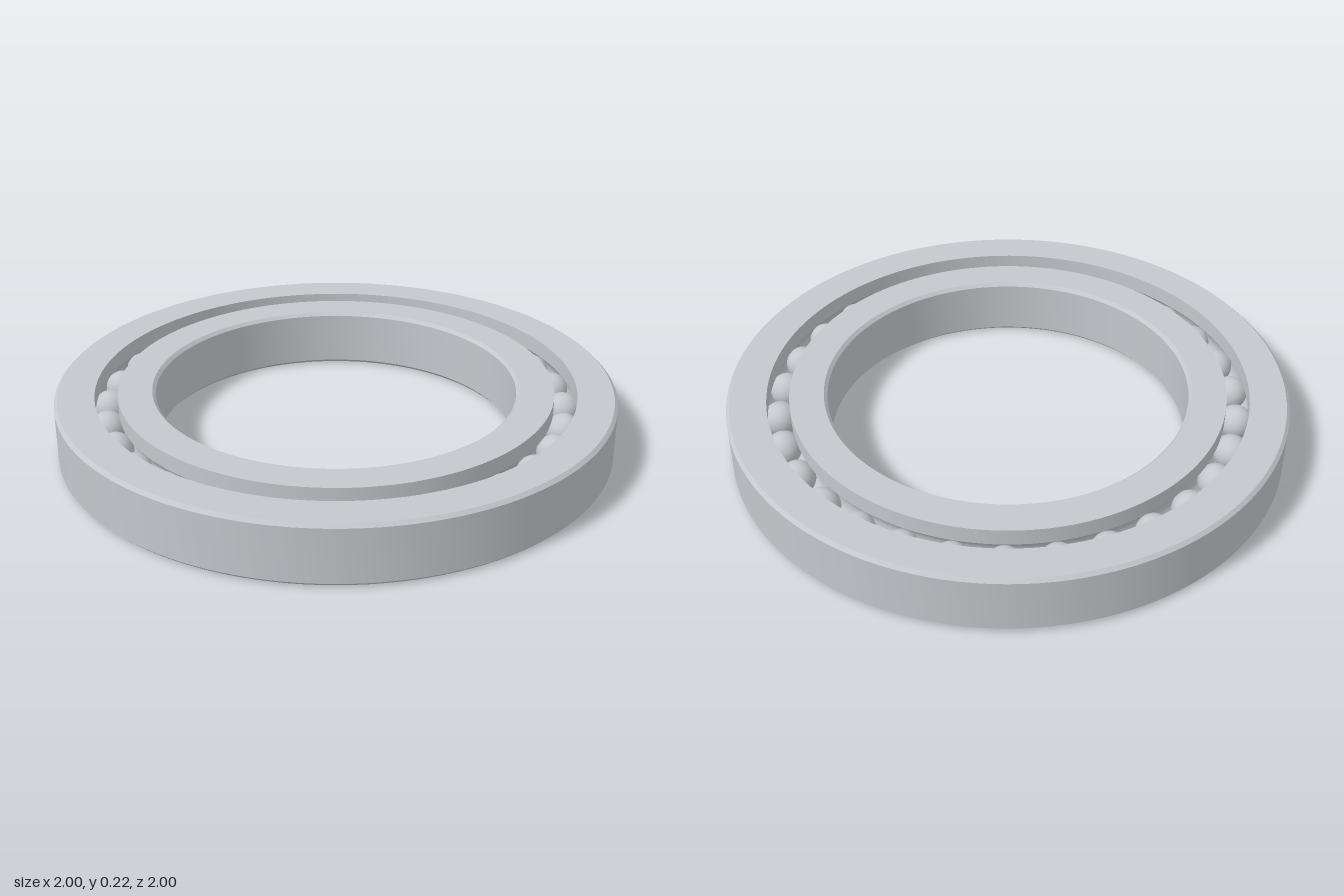
import * as THREE from 'three';
import { toCreasedNormals } from 'three/addons/utils/BufferGeometryUtils.js';

const HEIGHT = 0.217, MID = HEIGHT / 2, CHAMFER = 0.012;
const PITCH = 0.819, HALF_GAP = 0.04;
const BALL_RADIUS = 0.062, GROOVE_RADIUS = 0.063, BALLS = 30;

// Ball groove as an arc in the ring's cross-section
function groove(from, to, steps = 14) {
  return Array.from({ length: steps + 1 }, (_, i) => {
    const a = from + (to - from) * i / steps;
    return [PITCH + GROOVE_RADIUS * Math.cos(a), MID + GROOVE_RADIUS * Math.sin(a)];
  });
}

// Revolve a closed cross-section, keeping its edges sharp
function ring(name, profile, material) {
  const points = [...profile, profile[0]].map(([x, y]) => new THREE.Vector2(x, y));
  const mesh = new THREE.Mesh(toCreasedNormals(new THREE.LatheGeometry(points, 128), 0.4), material);
  mesh.name = name;
  return mesh;
}

export function createModel() {
  const group = new THREE.Group();
  group.name = 'ballBearing';
  const steel = new THREE.MeshStandardMaterial({ color: 0xc4c7cc });
  steel.name = 'steel';

  const half = Math.acos(HALF_GAP / GROOVE_RADIUS);
  const bore = 0.645, rim = 1, c = CHAMFER;
  const shoulderIn = PITCH - HALF_GAP, shoulderOut = PITCH + HALF_GAP;

  // Inner ring: chamfered bore, groove on its outside
  group.add(ring('innerRing', [
    [bore, c], [bore + c, 0], [shoulderIn, 0],
    ...groove(Math.PI + half, Math.PI - half),
    [shoulderIn, HEIGHT], [bore + c, HEIGHT], [bore, HEIGHT - c],
  ], steel));

  // Outer ring: chamfered rim, groove on its inside
  group.add(ring('outerRing', [
    [shoulderOut, 0], [rim - c, 0], [rim, c],
    [rim, HEIGHT - c], [rim - c, HEIGHT], [shoulderOut, HEIGHT],
    ...groove(half, -half),
  ], steel));

  // Balls evenly spaced round the race
  const balls = new THREE.Group();
  balls.name = 'balls';
  const ballGeometry = new THREE.SphereGeometry(BALL_RADIUS, 32, 20);
  for (let i = 0; i < BALLS; i++) {
    const a = i / BALLS * Math.PI * 2;
    const ball = new THREE.Mesh(ballGeometry, steel);
    ball.name = 'ball';
    ball.position.set(PITCH * Math.cos(a), MID, PITCH * Math.sin(a));
    balls.add(ball);
  }
  group.add(balls);
  return group;
}
